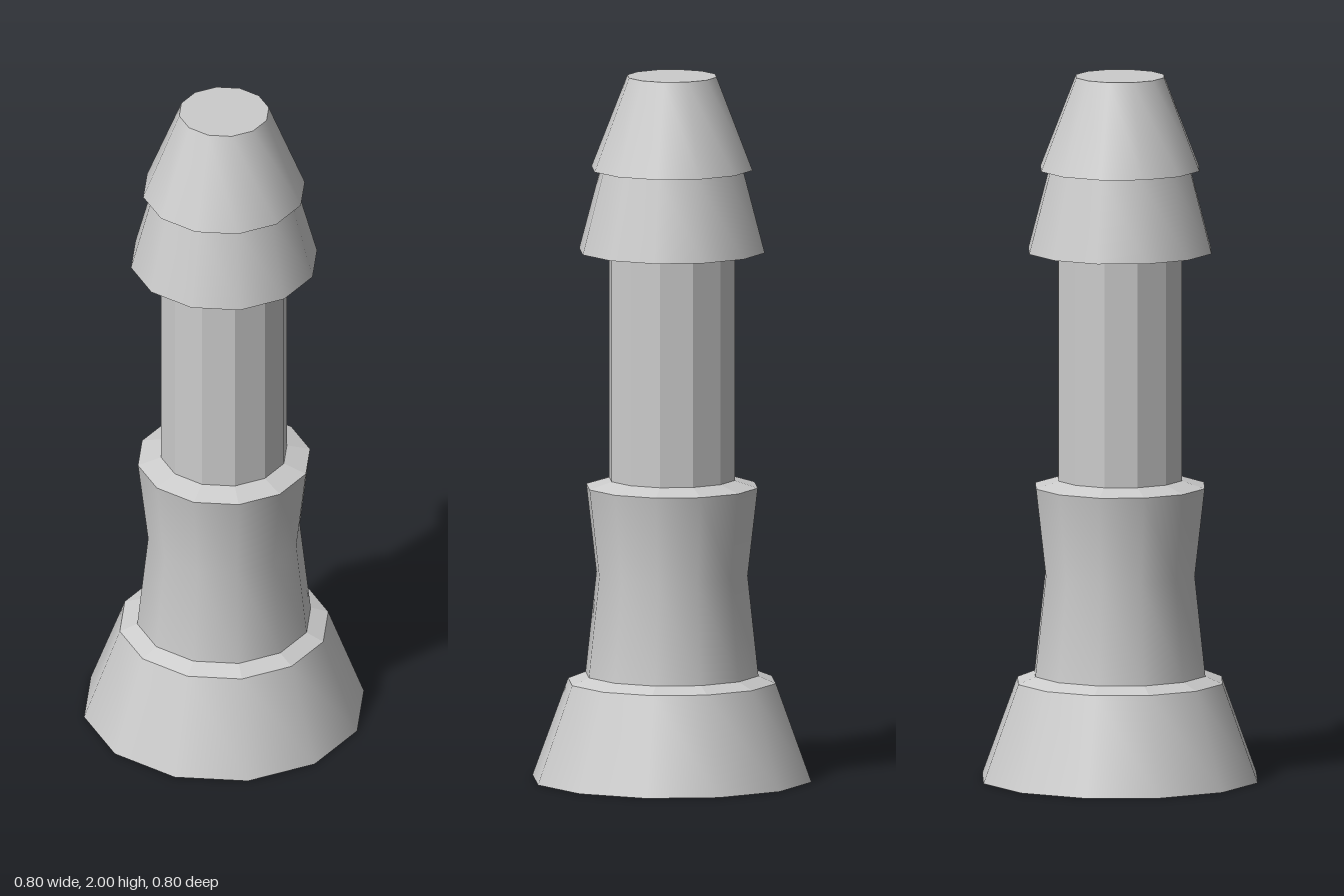
import * as THREE from 'three';

const SIDES = 12;

export function createModel() {
  const model = new THREE.Group();
  model.name = 'turnedPost';
  const grey = new THREE.MeshStandardMaterial({ color: 0xcccccc, side: THREE.DoubleSide });
  grey.name = 'grey';

  // One turned band; profile is [radius, y] pairs, outer faces when listed upward
  function band(name, profile, flat = false) {
    let geometry = new THREE.LatheGeometry(profile.map(([r, y]) => new THREE.Vector2(r, y)), SIDES);
    if (flat) {
      geometry = geometry.toNonIndexed();
      geometry.computeVertexNormals();
    }
    const mesh = new THREE.Mesh(geometry, grey);
    mesh.name = name;
    model.add(mesh);
  }

  // Hollow flared foot with its sloping ledge
  band('foot', [[0.4, 0], [0.298, 0.278]]);
  band('footLedge', [[0.298, 0.278], [0.248, 0.298]], true);

  // Pinched waist
  band('waist', [[0.248, 0.298], [0.217, 0.583], [0.246, 0.833]]);
  band('waistLedge', [[0.246, 0.833], [0.18, 0.853]], true);

  // Faceted column
  band('column', [[0.18, 0.853], [0.18, 1.503]], true);

  // Collar, with its underside
  band('collarUnderside', [[0.18, 1.503], [0.266, 1.503]], true);
  band('collar', [[0.266, 1.503], [0.204, 1.737]]);

  // Tapered cap, with its underside and flat top
  band('capUnderside', [[0.204, 1.737], [0.231, 1.737]], true);
  band('cap', [[0.231, 1.737], [0.128, 2]]);
  const top = new THREE.Mesh(new THREE.CircleGeometry(0.128, SIDES), grey);
  top.name = 'capTop';
  top.rotation.x = -Math.PI / 2;
  top.position.y = 2;
  model.add(top);

  return model;
}
